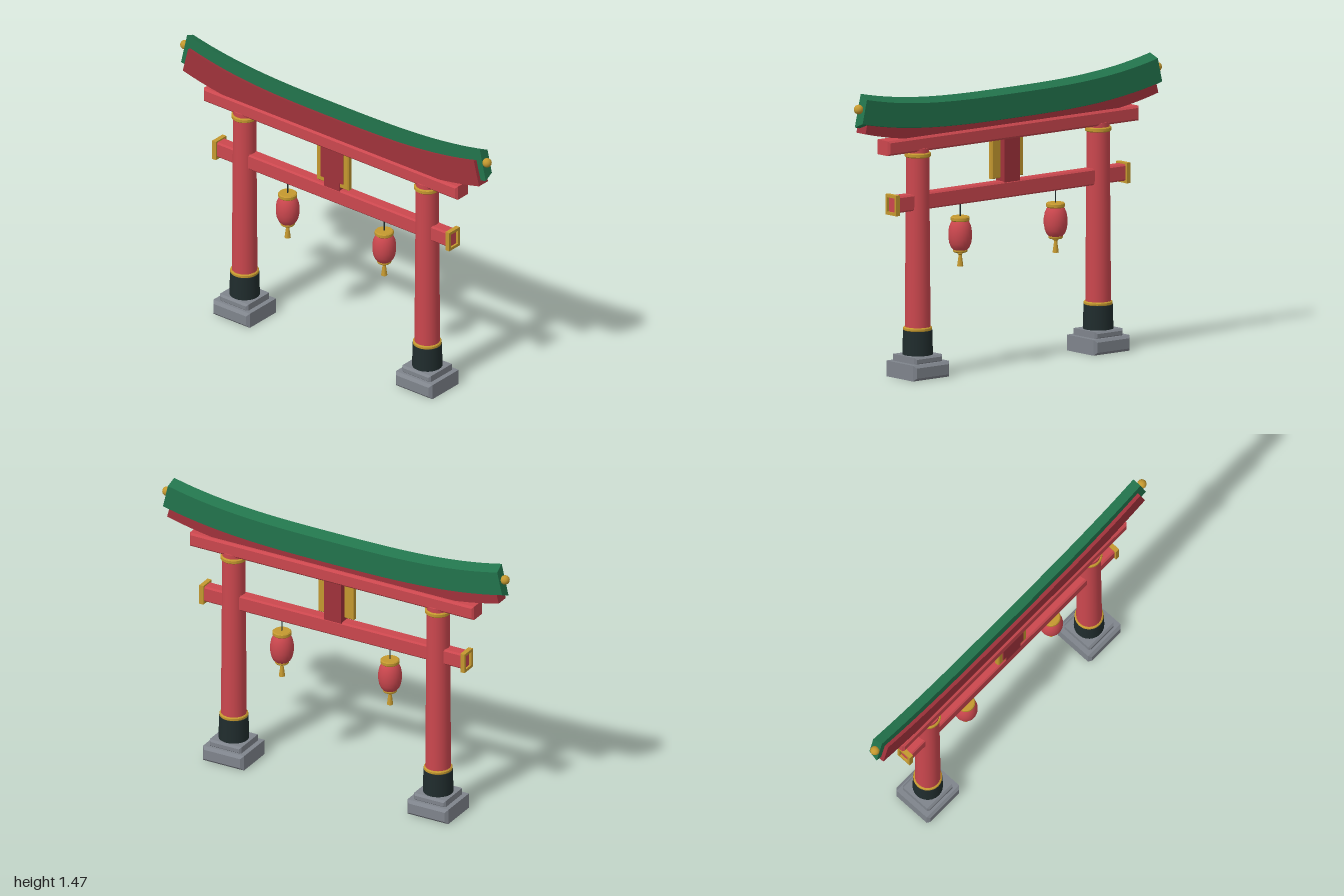
import * as THREE from 'three';
import { toCreasedNormals } from 'three/addons/utils/BufferGeometryUtils.js';

const paint = (name, color) => Object.assign(new THREE.MeshStandardMaterial({ color }), { name });

// Box with chamfered edges, centred on the origin
function chamferBox(w, h, d, c) {
  const x = w / 2 - c, y = h / 2 - c;
  const shape = new THREE.Shape([[-x, -y], [x, -y], [x, y], [-x, y]].map(p => new THREE.Vector2(...p)));
  const g = new THREE.ExtrudeGeometry(shape, {
    depth: d - 2 * c, bevelEnabled: true, bevelThickness: c, bevelSize: c, bevelSegments: 1,
  });
  return g.translate(0, 0, c - d / 2);
}

// Beam whose ends curve upward; profile holds [height, z] corners
function curvedBeam(profile, half, y0, rise, steps = 32) {
  const pos = [], idx = [], n = profile.length;
  for (let i = 0; i <= steps; i++) {
    const t = (i / steps) * 2 - 1, a = Math.abs(t);
    const angle = Math.atan(3 * rise * a * t / half);
    for (const [h, z] of profile) {
      pos.push(t * half - Math.sin(angle) * h, y0 + rise * a ** 3 + Math.cos(angle) * h, z);
    }
  }
  for (let i = 0; i < steps; i++) {
    for (let j = 0; j < n; j++) {
      const a = i * n + j, b = i * n + (j + 1) % n;
      idx.push(a, b, a + n, b, b + n, a + n);
    }
  }
  const e = steps * n;
  for (let j = 1; j < n - 1; j++) idx.push(0, j + 1, j, e, e + j, e + j + 1);
  const g = new THREE.BufferGeometry();
  g.setAttribute('position', new THREE.Float32BufferAttribute(pos, 3));
  g.setIndex(idx);
  return toCreasedNormals(g, 0.4);
}

const lathe = (pts, seg = 24) =>
  toCreasedNormals(new THREE.LatheGeometry(pts.map(p => new THREE.Vector2(...p)), seg), 0.5);

// Flat band with small chamfers
const band = (r, h) => lathe([[0, -h / 2], [r - 0.005, -h / 2], [r, -h / 2 + 0.005],
  [r, h / 2 - 0.005], [r - 0.005, h / 2], [0, h / 2]]);

export function createModel() {
  const red = paint('vermilion', 0xcb474e);
  const crimson = paint('dark red', 0xa0323b);
  const green = paint('roof green', 0x22744c);
  const gold = paint('gold', 0xc4982f);
  const black = paint('black lacquer', 0x202c2d);
  const stone = paint('stone grey', 0x7f848c);

  const model = new THREE.Group();
  model.name = 'shrineGate';
  const add = (parent, name, geo, mat, x = 0, y = 0, z = 0) => {
    const m = new THREE.Mesh(geo, mat);
    m.name = name;
    m.position.set(x, y, z);
    parent.add(m);
    return m;
  };

  // Curved roof and the beam beneath it
  add(model, 'roof', curvedBeam(
    [[-0.062, -0.035], [0.062, -0.035], [0.086, 0.02], [-0.086, 0.02]], 0.965, 1.315, 0.075), green);
  add(model, 'upperBeam', curvedBeam(
    [[-0.07, -0.031], [0.05, -0.031], [0.07, 0.04], [-0.07, 0.04]], 0.94, 1.263, 0.08), crimson);

  // Straight beams
  add(model, 'lintel', chamferBox(1.64, 0.075, 0.1, 0.01), red, 0, 1.188);
  add(model, 'tieBeam', chamferBox(1.51, 0.084, 0.066, 0.008), red, 0, 0.892);

  // Central strut with gold-framed plaque
  const plaque = new THREE.Group();
  plaque.name = 'plaque';
  model.add(plaque);
  add(plaque, 'strut', new THREE.BoxGeometry(0.1, 0.23, 0.07), crimson, 0, 1.045);
  add(plaque, 'plaqueFrame', chamferBox(0.205, 0.205, 0.03, 0.005), gold, 0, 1.05, 0.014);
  add(plaque, 'plaquePanel', new THREE.BoxGeometry(0.146, 0.18, 0.006), crimson, 0, 1.066, 0.031);

  // Frame around each tie beam end
  const frame = new THREE.Shape([[-0.042, -0.052], [0.042, -0.052], [0.042, 0.052], [-0.042, 0.052]]
    .map(p => new THREE.Vector2(...p)));
  frame.holes.push(new THREE.Path([[-0.028, -0.037], [-0.028, 0.037], [0.028, 0.037], [0.028, -0.037]]
    .map(p => new THREE.Vector2(...p))));
  const frameGeo = new THREE.ExtrudeGeometry(frame, { depth: 0.024, bevelEnabled: false })
    .translate(0, 0, -0.012).rotateY(Math.PI / 2);

  const lanternBody = lathe([[0, -0.077], [0.034, -0.077], [0.046, -0.064], [0.055, -0.043], [0.06, -0.015],
    [0.06, 0.015], [0.055, 0.043], [0.046, 0.064], [0.036, 0.077], [0, 0.077]]);
  const tassel = lathe([[0, -0.04], [0.016, -0.04], [0.008, 0.018], [0.013, 0.023],
    [0.013, 0.032], [0.007, 0.038], [0, 0.038]], 12);

  for (const s of [1, -1]) {
    const side = s > 0 ? 'left' : 'right';
    add(model, side + 'Finial', new THREE.SphereGeometry(0.024, 20, 14), gold, s * 0.976, 1.4);
    add(model, side + 'BeamCap', frameGeo, gold, s * 0.754, 0.89);

    // Pillar on its stone base
    const pillar = new THREE.Group();
    pillar.name = side + 'Pillar';
    pillar.position.x = s * 0.59;
    model.add(pillar);
    add(pillar, 'baseSlab', chamferBox(0.236, 0.08, 0.236, 0.014), stone, 0, 0.04);
    add(pillar, 'baseStep', chamferBox(0.184, 0.04, 0.184, 0.01), stone, 0, 0.094);
    add(pillar, 'sleeve', new THREE.CylinderGeometry(0.074, 0.077, 0.13, 24), black, 0, 0.172);
    add(pillar, 'shaft', new THREE.CylinderGeometry(0.058, 0.065, 0.93, 24), red, 0, 0.7);
    add(pillar, 'lowerBand', band(0.073, 0.02), gold, 0, 0.245);
    add(pillar, 'upperBand', band(0.067, 0.024), gold, 0, 1.13);

    // Hanging lantern
    const lantern = new THREE.Group();
    lantern.name = side + 'Lantern';
    lantern.position.x = s * 0.312;
    model.add(lantern);
    add(lantern, 'cord', new THREE.CylinderGeometry(0.003, 0.003, 0.08, 8), black, 0, 0.815);
    add(lantern, 'topCap', band(0.048, 0.024), gold, 0, 0.772);
    add(lantern, 'body', lanternBody, red, 0, 0.69);
    add(lantern, 'bottomCap', band(0.036, 0.018), gold, 0, 0.61);
    add(lantern, 'tassel', tassel, gold, 0, 0.57);
  }
  return model;
}
